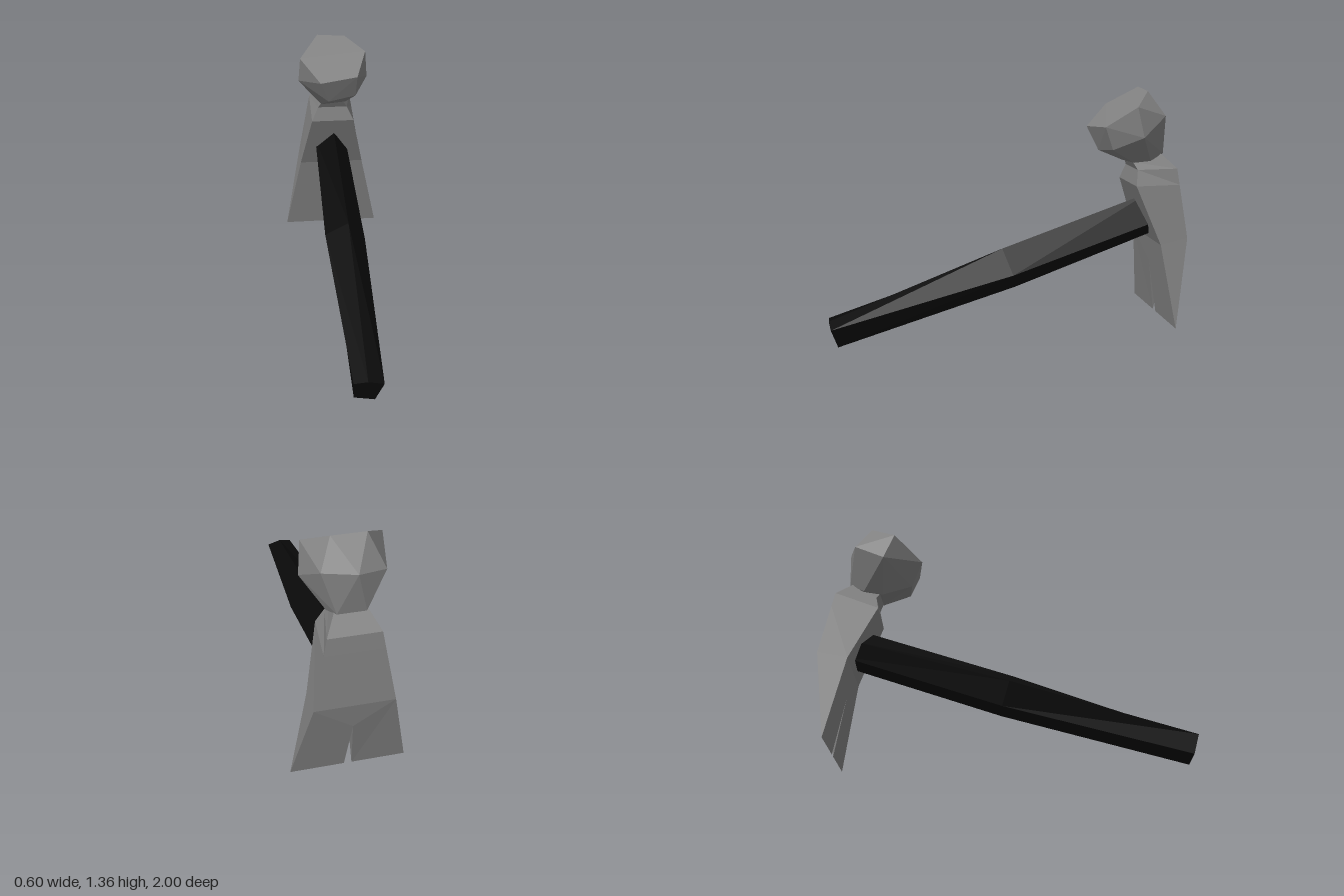
import * as THREE from 'three';
import { ConvexGeometry } from 'three/addons/geometries/ConvexGeometry.js';

// Flat-shaded geometry from a list of triangles of corner points
function faceted(triangles) {
  const g = new THREE.BufferGeometry();
  g.setAttribute('position', new THREE.Float32BufferAttribute(triangles.flat(2), 3));
  g.computeVertexNormals();
  return g;
}

// Joins rings of points, counter-clockwise as seen from the first ring's side
function loft(rings, capEnd = true) {
  const tris = [];
  const n = rings[0].length;
  for (let r = 0; r < rings.length - 1; r++) {
    const a = rings[r], b = rings[r + 1];
    for (let i = 0; i < n; i++) {
      const j = (i + 1) % n;
      tris.push([b[i], b[j], a[i]], [a[i], b[j], a[j]]);
    }
  }
  const last = rings[rings.length - 1];
  for (let i = 1; i < n - 1; i++) {
    tris.push([rings[0][0], rings[0][i], rings[0][i + 1]]);
    if (capEnd) tris.push([last[0], last[i + 1], last[i]]);
  }
  return tris;
}

export function createModel() {
  const group = new THREE.Group();
  const steel = new THREE.MeshStandardMaterial({ color: 0x808080 });
  steel.name = 'grey steel';
  const black = new THREE.MeshStandardMaterial({ color: 0x0a0a0a });
  black.name = 'black grip';
  const add = (name, geometry, material) => {
    const mesh = new THREE.Mesh(geometry, material);
    mesh.name = name;
    group.add(mesh);
  };

  // Handle: slanted five-sided bar, swollen in the middle
  const section = (z, y, pts) => pts.map(([px, py]) => [px, py, z + 0.3 * (py - y)]);
  add('handle', faceted(loft([
    section(0.98, 0.072, [[0.08, 0.12], [0, 0.142], [-0.07, 0.135], [-0.065, 0.03], [0.04, 0.003]]),
    section(0, 0.38, [[0.115, 0.36], [0.015, 0.49], [-0.115, 0.41], [-0.07, 0.285], [0.06, 0.275]]),
    section(-0.87, 0.645, [[0.1, 0.62], [0.01, 0.76], [-0.1, 0.65], [-0.065, 0.565], [0.055, 0.555]]),
  ])), black);

  // Claw: four-cornered rings given by front and back [half width, y, z]
  const ring = ([fx, fy, fz], [bx, by, bz]) =>
    [[fx, fy, fz], [bx, by, bz], [-bx, by, bz], [-fx, fy, fz]];
  const front = [0.2, 0.5, -0.84], back = [0.2, 0.53, -1];
  const claw = loft([
    ring([0.065, 0.955, -0.71], [0.08, 1.0, -0.87]),
    ring([0.09, 0.915, -0.73], [0.13, 0.92, -0.95]),
    ring([0.13, 0.83, -0.71], [0.146, 0.83, -0.962]),
    ring(front, back),
  ], false);

  // Two mirrored tines, parted by a narrow notch
  for (const s of [1, -1]) {
    const m = ([x, y, z]) => [s * x, y, z];
    const f = m(front), b = m(back);
    const fc = [0, 0.5, -0.84], bc = [0, 0.53, -1];
    const nf = [0, 0.35, -0.862], nb = [0, 0.37, -0.98];
    const tip = m([0.3, 0.03, -0.91]), inner = m([0.02, 0.03, -0.91]);
    const tris = [
      [f, fc, nf], [f, nf, inner], [f, inner, tip],
      [b, nb, bc], [b, inner, nb], [b, tip, inner],
      [f, tip, b], [nf, nb, inner],
    ];
    claw.push(...tris.map(([p, q, r]) => (s > 0 ? [p, q, r] : [p, r, q])));
  }
  add('claw', faceted(claw), steel);

  // Striking head: flat hexagonal face, bulging middle, narrow neck
  const head = [
    [-0.09, 1.145, -0.485], [0.13, 1.168, -0.517], [0.195, 1.28, -0.673],
    [0.08, 1.352, -0.774], [-0.085, 1.36, -0.785], [-0.2, 1.255, -0.638],
    [-0.04, 1.015, -0.54], [0.125, 1.04, -0.565], [0.21, 1.115, -0.71],
    [0.14, 1.22, -0.86], [-0.02, 1.22, -0.905], [-0.16, 1.2, -0.86], [-0.21, 1.105, -0.69],
    [-0.07, 0.945, -0.7], [0.08, 0.955, -0.71], [0.1, 0.965, -0.8],
    [0.07, 1.0, -0.885], [-0.07, 1.0, -0.885], [-0.1, 0.95, -0.8],
  ];
  add('strikingHead', new ConvexGeometry(head.map((p) => new THREE.Vector3(...p))), steel);

  return group;
}
